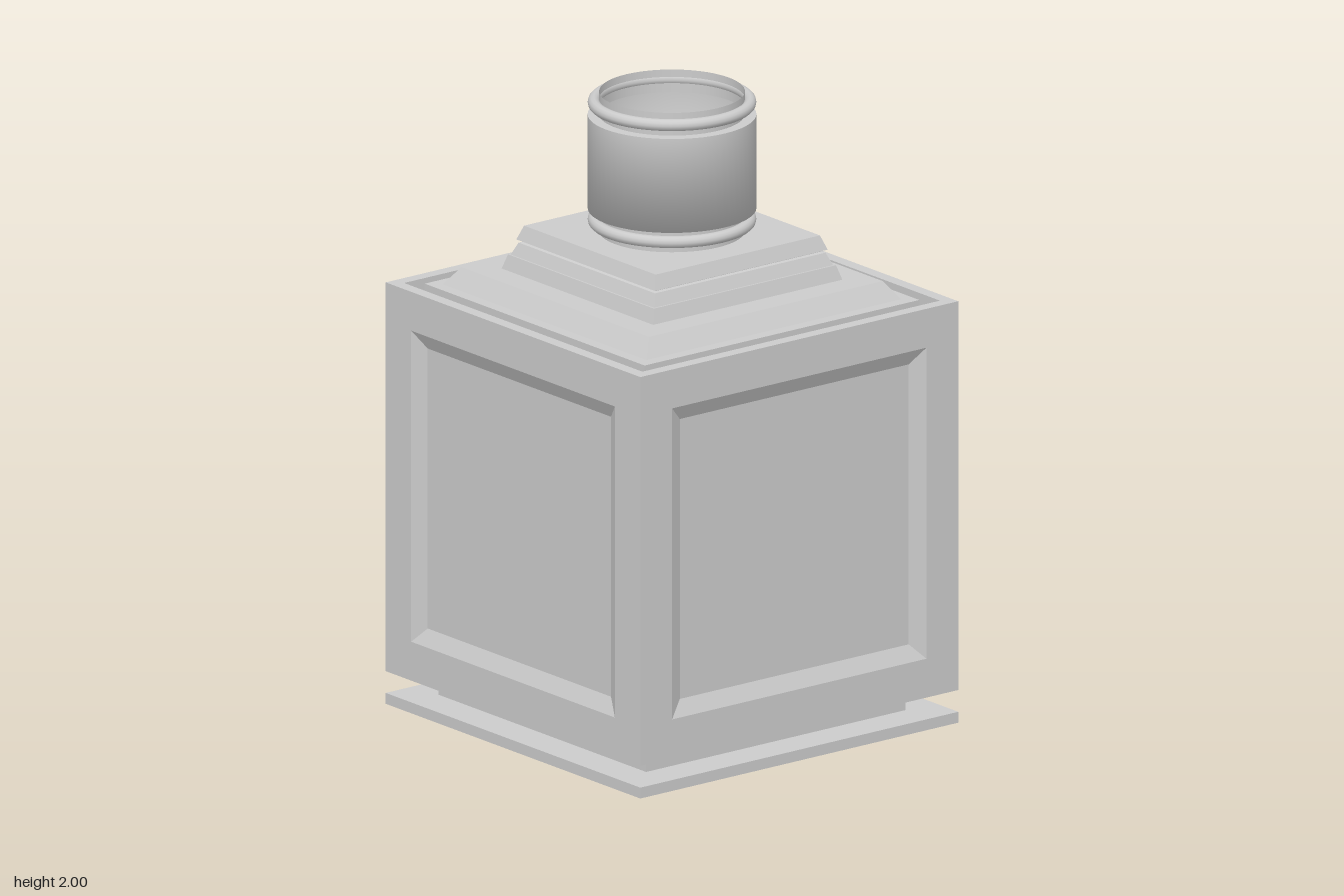
import * as THREE from 'three';

const material = new THREE.MeshStandardMaterial({ color: 0xcccccc, side: THREE.DoubleSide });
const toPoints = (profile) => profile.map(([r, y]) => new THREE.Vector2(r, y));

function addMesh(parent, name, geometry) {
  const mesh = new THREE.Mesh(geometry, material);
  mesh.name = name;
  parent.add(mesh);
  return mesh;
}

// Sweeps a profile of [half width, height] around a square, with flat faces
function squareSweep(profile) {
  const points = toPoints(profile.map(([h, y]) => [h * Math.SQRT2, y]));
  const geometry = new THREE.LatheGeometry(points, 4, Math.PI / 4).toNonIndexed();
  geometry.computeVertexNormals();
  return geometry;
}

const round = (profile) => new THREE.LatheGeometry(toPoints(profile), 64);

export function createModel() {
  const model = new THREE.Group();
  model.name = 'squareBottle';

  // Open foot: flat plate, recessed plinth and underside of the body
  addMesh(model, 'foot', squareSweep([
    [0.51, 0.035], [0.51, 0], [0.625, 0], [0.625, 0.035],
    [0.51, 0.035], [0.51, 0.105], [0.625, 0.105],
  ]));

  // Four thin walls, each with a bevelled sunken panel
  const bottom = 0.105, top = 1.355;
  for (let i = 0; i < 4; i++) {
    const wall = squareSweep([[0.625, 0], [0.5, 0], [0.45, -0.025], [0, -0.025]]);
    wall.rotateX(Math.PI / 2);
    wall.translate(0, (bottom + top) / 2, 0.625);
    wall.rotateY(i * Math.PI / 2);
    addMesh(model, 'panelledWall', wall);
  }

  // Rim, groove and bevelled top of the body
  addMesh(model, 'bodyTop', squareSweep([
    [0.625, top], [0.585, top], [0.585, 1.315], [0.54, 1.315],
    [0.54, top], [0.5, top], [0.46, 1.412], [0.372, 1.412],
  ]));

  // Stepped shoulder
  addMesh(model, 'shoulder', squareSweep([
    [0.372, 1.412], [0.358, 1.458], [0.352, 1.458], [0.335, 1.497],
    [0.325, 1.5], [0.325, 1.507], [0.34, 1.507], [0.323, 1.552], [0, 1.552],
  ]));

  // Neck: lower collar, open cup, its top ledge and upper collar
  const neckRadius = 0.224;
  addMesh(model, 'lowerCollar', round([[neckRadius, 1.552], [neckRadius, 1.625]]));
  addMesh(model, 'cup', round([[0, 1.625], [0.259, 1.625], [0.259, 1.927]]));
  addMesh(model, 'cupLedge', round([[0.259, 1.927], [neckRadius, 1.927]]));
  addMesh(model, 'upperCollar', round([[neckRadius, 1.927], [neckRadius, 2]]));

  // Rounded rings around the collars
  for (const [name, y] of [['lowerRing', 1.59], ['upperRing', 1.966]]) {
    const ring = new THREE.TorusGeometry(0.24, 0.019, 12, 64);
    ring.rotateX(Math.PI / 2);
    addMesh(model, name, ring).position.y = y;
  }

  return model;
}
